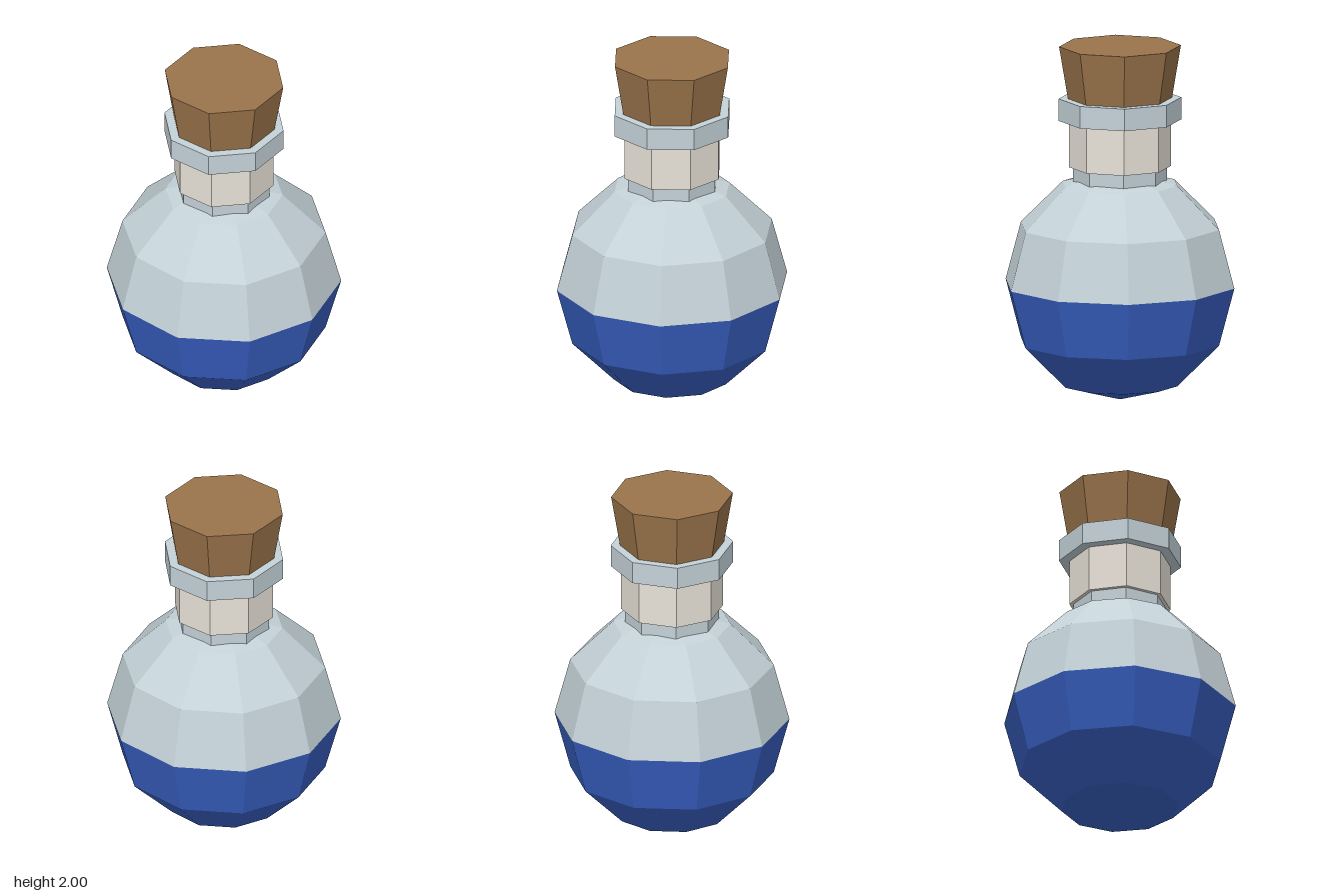
import * as THREE from 'three';

const material = (color) => new THREE.MeshStandardMaterial({ color, flatShading: true });

export function createModel() {
  const group = new THREE.Group();
  const glass = material(0xc4d2d8);
  const liquid = material(0x3860c4);
  const cloth = material(0xe8e2d8);
  const cork = material(0x9a744b);

  const add = (name, geometry, mat, y) => {
    const mesh = new THREE.Mesh(geometry, mat);
    mesh.name = name;
    mesh.position.y = y;
    group.add(mesh);
  };

  // Ten-sided round body: glass above, liquid below the equator
  const R = 0.655;
  const half = (start) => new THREE.SphereGeometry(R, 10, 3, 0, Math.PI * 2, start, Math.PI / 2);
  add('glassBody', half(0), glass, R);
  add('liquid', half(Math.PI / 2), liquid, R);

  // Eight-sided neck parts, each from its bottom to its top height
  const band = (name, rTop, rBottom, y0, y1, mat) =>
    add(name, new THREE.CylinderGeometry(rTop, rBottom, y1 - y0, 8), mat, (y0 + y1) / 2);
  band('neck', 0.262, 0.262, 1.2, 1.6, glass);
  band('neckWrap', 0.284, 0.284, 1.317, 1.58, cloth);
  band('lip', 0.342, 0.342, 1.58, 1.705, glass);
  band('cork', 0.34, 0.283, 1.66, 2, cork);

  return group;
}
